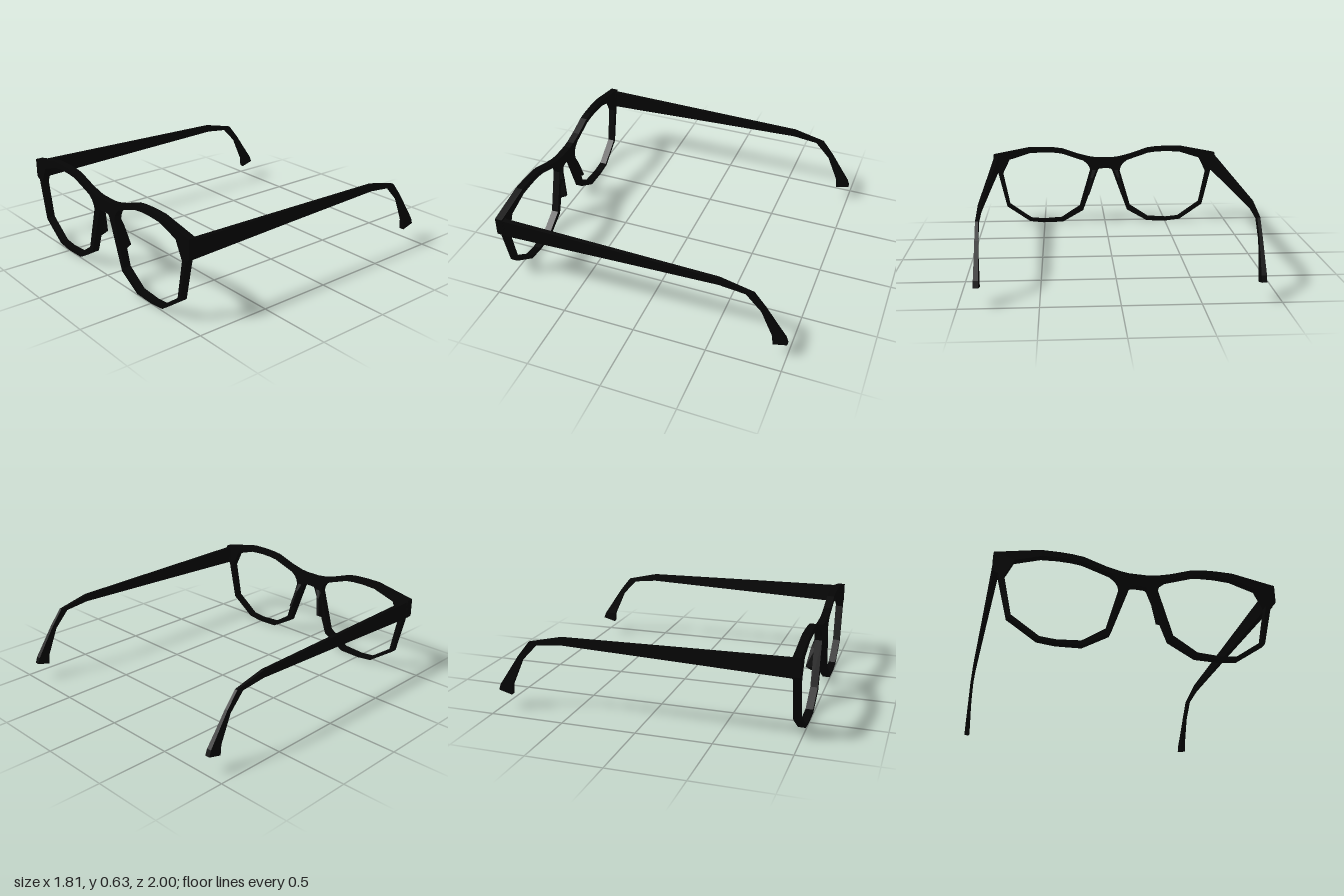
import * as THREE from 'three';

const material = new THREE.MeshStandardMaterial({ color: 0x050505, flatShading: true });

// Skins a row of equal-sized rings; side = -1 mirrors the result across x
function loft(rings, side) {
  const n = rings[0].length, index = [];
  const rows = rings.map(r => {
    const ring = r.map(([x, y, z]) => [x * side, y, z]);
    return side < 0 ? ring.reverse() : ring;
  });
  for (let i = 0; i < rows.length - 1; i++) {
    for (let j = 0; j < n; j++) {
      const a = i * n + j, b = i * n + (j + 1) % n;
      index.push(a, b, b + n, a, b + n, a + n);
    }
  }
  const last = (rows.length - 1) * n;
  for (let j = 1; j < n - 1; j++) index.push(0, j + 1, j, last, last + j, last + j + 1);
  const g = new THREE.BufferGeometry();
  g.setAttribute('position', new THREE.Float32BufferAttribute(rows.flat(2), 3));
  g.setIndex(index);
  const flat = g.toNonIndexed();
  flat.computeVertexNormals();
  return flat;
}

function add(group, name, geometry) {
  const mesh = new THREE.Mesh(geometry, material);
  mesh.name = name;
  group.add(mesh);
  return mesh;
}

const points = (list, side = 1) => list.map(([x, y]) => new THREE.Vector2(x * side, y));

// Half outline of the front, from the top of the bridge round to its underside
const outline = [
  [0, 0.537], [0.06, 0.537], [0.115, 0.544], [0.21, 0.568], [0.35, 0.616], [0.42, 0.625],
  [0.505, 0.629], [0.62, 0.628], [0.905, 0.573], [0.905, 0.45], [0.889, 0.432], [0.872, 0.43],
  [0.806, 0.143], [0.622, 0.015], [0.51, 0.002], [0.35, 0.006], [0.182, 0.102],
  [0.057, 0.443], [0.045, 0.453], [0, 0.455],
];
// Lens opening
const opening = [
  [0.121, 0.435], [0.128, 0.465], [0.145, 0.493], [0.18, 0.521], [0.355, 0.581],
  [0.42, 0.589], [0.505, 0.592], [0.612, 0.586], [0.776, 0.534], [0.835, 0.415],
  [0.784, 0.157], [0.611, 0.034], [0.51, 0.024], [0.36, 0.034], [0.209, 0.133],
];

// Temple stations: z and y of the upper edge, z and y of the lower edge, inner and outer x
const templeStations = [
  [0.96, 0.561, 0.96, 0.439, 0.866, 0.9],
  [0.2, 0.55, 0.2, 0.464, 0.87, 0.896],
  [-0.54, 0.538, -0.54, 0.487, 0.873, 0.894],
  [-0.765, 0.486, -0.715, 0.467, 0.873, 0.893],
  [-0.845, 0.385, -0.82, 0.356, 0.872, 0.894],
  [-0.92, 0.272, -0.865, 0.256, 0.869, 0.896],
  [-0.985, 0.175, -0.9, 0.18, 0.865, 0.898],
  [-1, 0.133, -0.907, 0.108, 0.865, 0.898],
];

// Nose pad stations: y, base x from/to, ridge x from/to, ridge z
const padStations = [
  [0.44, 0.058, 0.118, 0.075, 0.105, 0.948],
  [0.38, 0.08, 0.133, 0.1, 0.12, 0.928],
  [0.25, 0.127, 0.15, 0.13, 0.15, 0.902],
  [0.23, 0.134, 0.15, 0.138, 0.15, 0.94],
];

export function createModel() {
  const group = new THREE.Group();
  group.name = 'eyeglasses';

  // Front frame: mirrored outline with two openings
  const leftHalf = outline.slice(1, -1).reverse();
  const rightHalf = outline.map(([x, y]) => [-x, y]);
  const shape = new THREE.Shape(points([...rightHalf, ...leftHalf]));
  for (const side of [1, -1]) shape.holes.push(new THREE.Path(points(opening, side)));
  const front = new THREE.ExtrudeGeometry(shape, { depth: 0.05, bevelEnabled: false });
  add(group, 'frontFrame', front.translate(0, 0, 0.95));

  for (const [side, label] of [[1, 'left'], [-1, 'right']]) {
    // Temple arm with its bent ear tip
    add(group, label + 'Temple', loft(templeStations.map(([zt, yt, zb, yb, xi, xo]) => [
      [xi, yb, zb], [xi, yt, zt], [xo, yt, zt], [xo, yb, zb],
    ]), side));

    // Nose pad wedge behind the rim
    add(group, label + 'NosePad', loft(padStations.map(([y, b0, b1, r0, r1, z]) => [
      [r0, y, z], [r1, y, z], [b1, y, 0.96], [b0, y, 0.96],
    ]), side));

    // Small hinge block where the temple meets the frame
    const hinge = add(group, label + 'Hinge', new THREE.BoxGeometry(0.045, 0.11, 0.02));
    hinge.position.set(0.88 * side, 0.505, 0.952);
  }
  return group;
}
